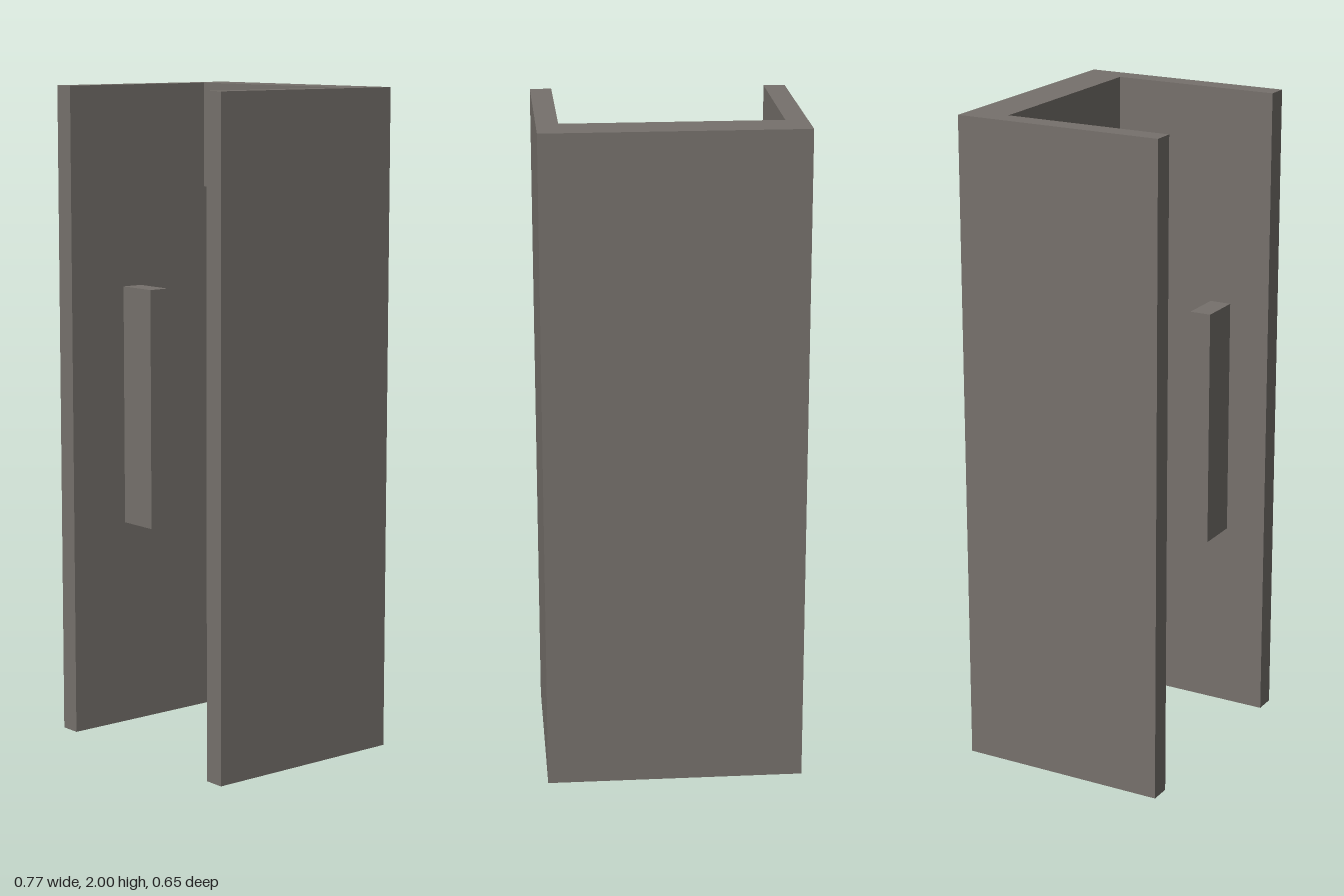
import * as THREE from 'three';

// Everything sits on a module of 1/31 of the height
const U = 2 / 31;

export function createModel() {
  const group = new THREE.Group();
  const stone = new THREE.MeshStandardMaterial({ color: 0x76716c });
  stone.name = 'stone grey';

  const add = (name, geometry, x, y, z) => {
    const mesh = new THREE.Mesh(geometry, stone);
    mesh.name = name;
    mesh.position.set(x * U, y * U, z * U);
    group.add(mesh);
  };

  // U-shaped plan of back wall and two side walls; plan y becomes -z
  const plan = [[-6, -5], [-5, -5], [-5, 4], [5, 4], [5, -5], [6, -5], [6, 5], [-6, 5]];
  const shape = new THREE.Shape(plan.map(([x, y]) => new THREE.Vector2(x * U, y * U)));
  const walls = new THREE.ExtrudeGeometry(shape, { depth: 31 * U, bevelEnabled: false });
  walls.rotateX(-Math.PI / 2);
  add('walls', walls, 0, 0, 0);

  // Thicker band across the top of the back wall
  add('header', new THREE.BoxGeometry(10 * U, 5 * U, U), 0, 28.5, -3.5);

  // Free-standing upright bar in the front opening
  add('frontBar', new THREE.BoxGeometry(2 * U, 11 * U, U), 0, 16.5, 4.5);

  return group;
}
